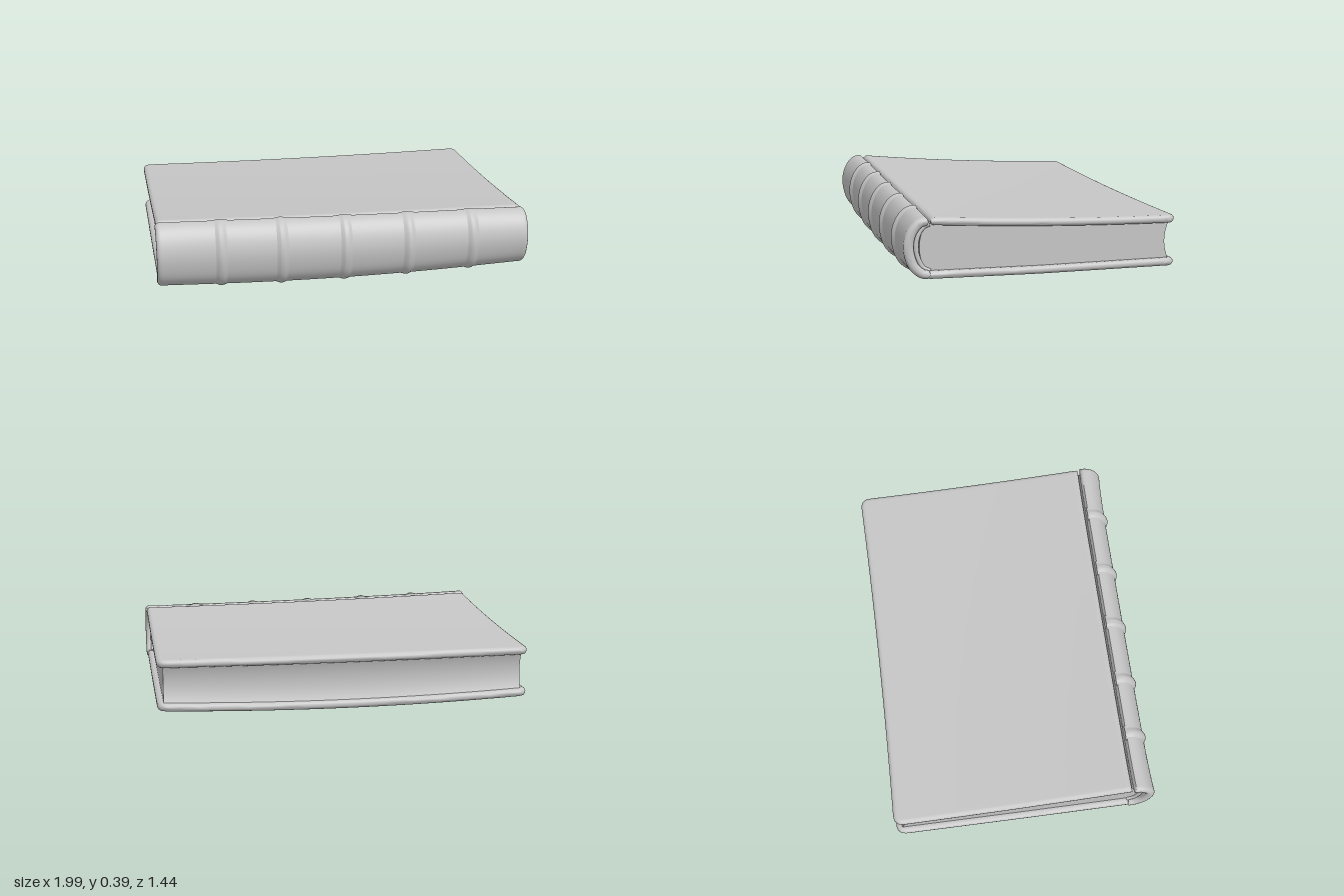
import * as THREE from 'three';
import { toCreasedNormals } from 'three/addons/utils/BufferGeometryUtils.js';

const leather = new THREE.MeshStandardMaterial({ color: 0xc6c6c6 });
leather.name = 'plain grey';

// gentle sag of the whole old book
function warp(x, y, z) {
  const f = THREE.MathUtils.clamp(y / 0.37, 0, 1);
  const lift = (1 - f) * 0.03 * x * x + f * (0.007 * x * x - 0.019 * x) * (z + 0.8) / 1.4;
  const flare = z > 0.5 ? 0.012 * x ** 8 * (z - 0.5) / 0.2 : 0;
  return [x, y + lift, z + flare];
}

// stations along x, crowded towards both ends so edges can be rounded
function stations(half, n = 36) {
  const ends = [0, 0.003, 0.008, 0.016, 0.026, 0.04, 0.06];
  const xs = ends.map(d => -half + d);
  const inner = half - 0.06;
  for (let i = 1; i < n; i++) xs.push(-inner + 2 * inner * i / n);
  return xs.concat(ends.map(d => half - d).reverse());
}

// rounding factor at distance d from an edge with radius r
const round = (d, r, min = 0.3) => {
  const u = 1 - Math.min(d / r, 1);
  return Math.max(min, Math.sqrt(Math.max(0, 1 - u * u)));
};

// sweep a closed ring of [z, y] points (outer row, then inner row reversed) along x
function loft(name, xs, ring) {
  const pos = [], idx = [];
  let n = 0;
  xs.forEach(x => {
    const pts = ring(x);
    n = pts.length;
    pts.forEach(([z, y]) => pos.push(...warp(x, y, z)));
  });
  const last = (xs.length - 1) * n;
  for (let i = 0; i < xs.length - 1; i++) {
    for (let j = 0; j < n; j++) {
      const k = (j + 1) % n, a = i * n + j, d = i * n + k;
      idx.push(a, a + n, d, d, a + n, d + n);
    }
  }
  for (let j = 0; j < n / 2 - 1; j++) {
    const p = n - 1 - j, q = p - 1;
    idx.push(j, j + 1, p, p, j + 1, q);
    idx.push(last + j, last + p, last + j + 1, last + p, last + q, last + j + 1);
  }
  const geo = new THREE.BufferGeometry();
  geo.setAttribute('position', new THREE.Float32BufferAttribute(pos, 3));
  geo.setIndex(idx);
  const mesh = new THREE.Mesh(toCreasedNormals(geo, 0.8), leather);
  mesh.name = name;
  return mesh;
}

// thicken a [z, y] path into a ring; half(j) is the half thickness
function ribbon(path, half) {
  const outer = [], inner = [];
  path.forEach(([z, y], j) => {
    const a = path[Math.max(j - 1, 0)], b = path[Math.min(j + 1, path.length - 1)];
    const dz = b[0] - a[0], dy = b[1] - a[1], l = Math.hypot(dz, dy) || 1, h = half(j);
    outer.push([z + dy / l * h, y - dz / l * h]);
    inner.push([z - dy / l * h, y + dz / l * h]);
  });
  return outer.concat(inner.reverse());
}

const spline = (pts, n) => new THREE.SplineCurve(pts.map(p => new THREE.Vector2(...p)))
  .getPoints(n).map(p => [p.x, p.y]);

const topY = z => 0.325 + 0.058 * z + 0.03 * z * z;
const bottomY = z => 0.008 + 0.01 * Math.max(z, 0) / 0.57;

// one board with rounded edges and rounded fore-edge corners
function board(name, yOf, thick, hinge, dir) {
  const X = 0.988, R = 0.05, T = thick / 2;
  return loft(name, stations(X), x => {
    const c = Math.min(Math.max(Math.abs(x) - (X - R), 0) / R, 1);
    const back = -0.716 - 0.012 * x * x + R * (1 - Math.sqrt(1 - c * c));
    const len = hinge - back;
    const ds = [0, 0.003, 0.009, 0.018, 0.03];
    for (let i = 1; i < 20; i++) ds.push(0.03 + (len - 0.06) * i / 20);
    ds.push(...[0.03, 0.018, 0.009, 0.003, 0].map(d => len - d));
    const path = ds.map(d => {
      const z = dir < 0 ? hinge - d : back + d;
      return [z, yOf(z) + dir * T];
    });
    return ribbon(path, j => T * round(Math.min(ds[j], len - ds[j]), 0.02)
      * round(X - Math.abs(x), 0.02));
  });
}

export function createModel() {
  const book = new THREE.Group();
  book.name = 'book';

  // covers
  book.add(board('topCover', topY, 0.045, 0.57, -1));
  book.add(board('bottomCover', bottomY, 0.045, 0.59, 1));

  // rounded spine
  const spinePath = spline([[0.575, 0.042], [0.615, 0.054], [0.656, 0.105], [0.676, 0.2],
    [0.662, 0.28], [0.625, 0.335], [0.582, 0.347]], 28);
  book.add(loft('spine', stations(0.995), x => ribbon(spinePath, j =>
    0.025 * round(0.995 - Math.abs(x), 0.02) * round(Math.min(j, 28 - j) + 0.3, 2))));

  // raised bands across the spine
  [-0.66, -0.34, 0, 0.34, 0.69].forEach(c => {
    const xs = [];
    for (let i = 0; i <= 12; i++) xs.push(c - 0.042 + 0.084 * i / 12);
    book.add(loft('spineBand', xs, x => ribbon(spinePath, j => {
      const bump = 0.5 + 0.5 * Math.cos((x - c) / 0.042 * Math.PI);
      return 0.022 + 0.018 * bump * Math.sin(Math.PI * (0.12 + 0.76 * j / 28));
    })));
  });

  // lining between spine and pages
  const liningPath = spline([[0.57, 0.062], [0.605, 0.085], [0.628, 0.14], [0.636, 0.2],
    [0.626, 0.265], [0.6, 0.31], [0.57, 0.325]], 20);
  book.add(loft('spineLining', stations(0.968, 16), x => ribbon(liningPath, () =>
    0.012 * round(0.968 - Math.abs(x), 0.012))));

  // page block with hollow fore-edge and rounded back
  book.add(loft('pages', stations(0.955, 24), () => {
    const fore = [], back = [];
    for (let i = 0; i <= 14; i++) {
      const t = 1 - i / 14, bow = 4 * t * (1 - t);
      const at = z => [z, THREE.MathUtils.lerp(bottomY(z) + 0.03, topY(z) - 0.03, t)];
      fore.push(at(-0.7 + 0.025 * bow));
      back.push(at(0.55 + 0.07 * Math.sqrt(bow)));
    }
    return fore.concat(back.reverse());
  }));

  // faint tapering ridges under the bottom cover, in line with the bands
  [-0.66, -0.34, 0, 0.34, 0.69].forEach(x => {
    const ridge = new THREE.Mesh(new THREE.SphereGeometry(1, 16, 12), leather);
    ridge.name = 'undersideRidge';
    ridge.scale.set(0.022, 0.012, 0.36);
    ridge.position.set(x, 0.014 + 0.03 * x * x, 0.22);
    ridge.rotation.x = -0.012;
    book.add(ridge);
  });

  return book;
}
